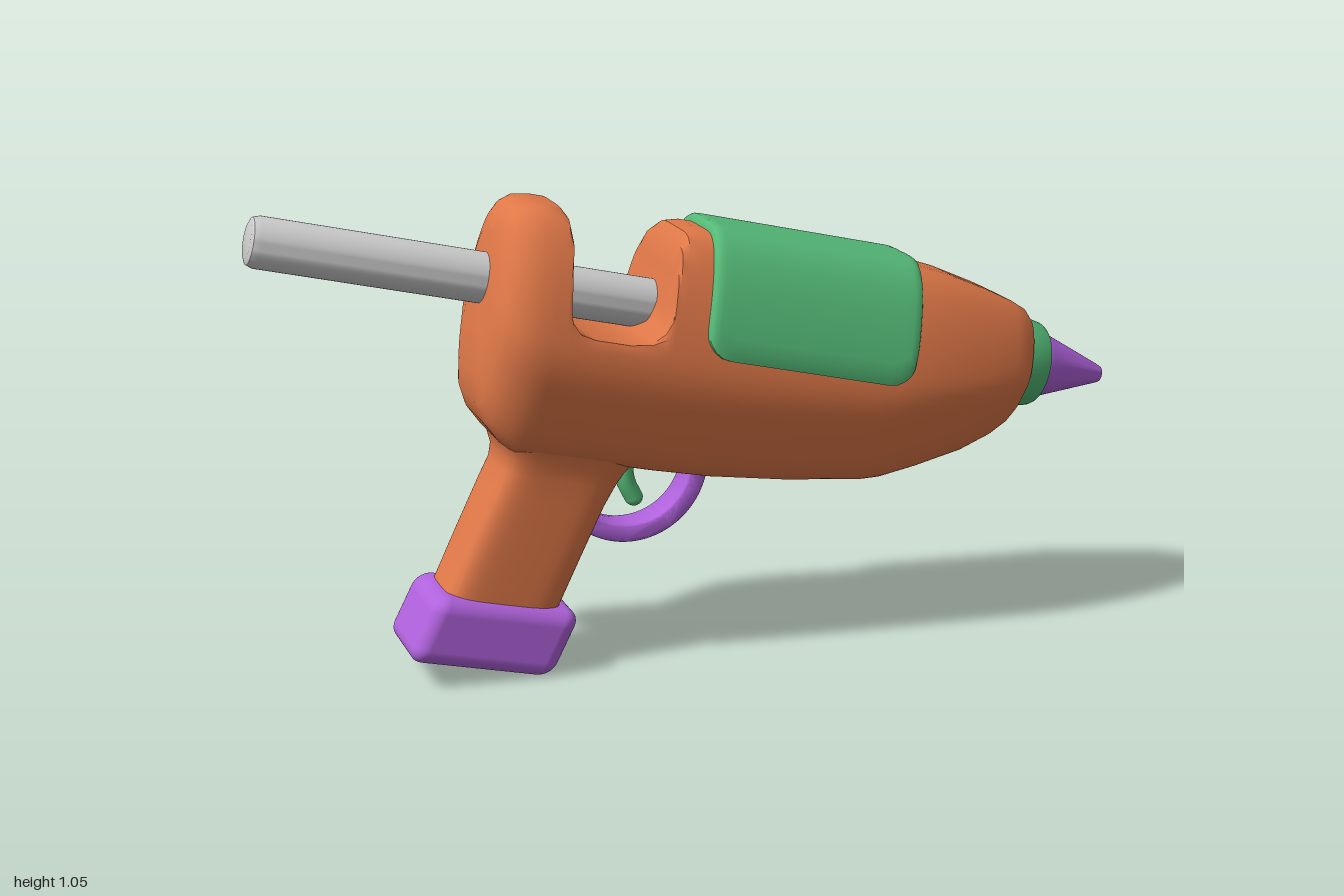
import * as THREE from 'three';
import { toCreasedNormals } from 'three/addons/utils/BufferGeometryUtils.js';
import { RoundedBoxGeometry } from 'three/addons/geometries/RoundedBoxGeometry.js';

const TILT = -0.2217; // the barrel points slightly downwards
const material = (color) => new THREE.MeshStandardMaterial({ color });
const orange = material(0xe07848), green = material(0x55bb78), purple = material(0xb062dc), grey = material(0xcccccc);

function part(parent, name, geometry, mat) {
  const mesh = new THREE.Mesh(geometry, mat);
  mesh.name = name;
  parent.add(mesh);
  return mesh;
}

// Closed skin over a list of rings with equal point counts, capped at both ends
function loft(rings, crease = 0.7) {
  const n = rings[0].length, pos = [], idx = [];
  rings.forEach((r) => r.forEach((p) => pos.push(p.x, p.y, p.z)));
  for (let i = 0; i < rings.length - 1; i++) {
    for (let j = 0; j < n; j++) {
      const a = i * n + j, b = i * n + (j + 1) % n;
      idx.push(a, b, b + n, a, b + n, a + n);
    }
  }
  const last = (rings.length - 1) * n;
  // caps are strips between mirrored halves of the ring
  for (let j = 0; j < n / 2 - 1; j++) {
    const a = j, b = j + 1, c = n - 2 - j, d = n - 1 - j;
    idx.push(a, c, b, a, d, c);
    idx.push(last + a, last + b, last + c, last + a, last + c, last + d);
  }
  // turn the faces outwards
  let volume = 0;
  const P = (i) => new THREE.Vector3().fromArray(pos, idx[i] * 3);
  for (let i = 0; i < idx.length; i += 3) volume += P(i).dot(P(i + 1).cross(P(i + 2)));
  if (volume < 0) idx.reverse();
  const g = new THREE.BufferGeometry();
  g.setAttribute('position', new THREE.Float32BufferAttribute(pos, 3));
  g.setIndex(idx);
  return toCreasedNormals(g, crease);
}

// Turned part along the barrel axis, profile as [radius, position]
function turned(profile) {
  const g = new THREE.LatheGeometry(profile.map(([r, u]) => new THREE.Vector2(r, u)), 40);
  return toCreasedNormals(g.rotateZ(-Math.PI / 2), 0.6);
}

// Half of the housing cross-section, top to bottom: x = half width, y = height
const TOP = 0.188, BOTTOM = -0.35, WIDTH = 0.2;
const half = new THREE.CatmullRomCurve3([
  [0, 0.188], [0.04, 0.188], [0.08, 0.184], [0.12, 0.155], [0.165, 0.07], [0.197, -0.06], [0.2, -0.13],
  [0.18, -0.21], [0.135, -0.32], [0.1, -0.348], [0.05, -0.35], [0, -0.35],
].map(([x, y]) => new THREE.Vector3(x, y, 0)));

// Point on the full outline, t from -1 to 1, moved outwards by off
function outline(t, off = 0) {
  const s = Math.abs(t), p = half.getPoint(s), d = half.getTangent(s);
  return { z: (p.x - d.y * off) * (t < 0 ? -1 : 1), v: p.y + d.x * off };
}

const softMin = (a, b, k = 0.03) => {
  const h = Math.max(k - Math.abs(a - b), 0) / k;
  return Math.min(a, b) - h * h * k / 4;
};

// Housing: stations of [position, half width, top, bottom, cut height]
function housing() {
  const none = 0.4;
  const stations = [
    [-0.497, 0.1, 0.11, -0.12, none], [-0.49, 0.13, 0.143, -0.2, none], [-0.475, 0.16, 0.166, -0.26, none],
    [-0.45, 0.185, 0.182, -0.3, none], [-0.41, 0.198, 0.188, -0.335, none],
  ];
  // rear arch, loading notch and front shoulder
  const cuts = [[-0.378, 0.24], [-0.362, 0.175], [-0.352, 0.13], [-0.347, 0.05], [-0.343, 0], [-0.335, -0.035],
    [-0.315, -0.056], [-0.28, -0.064], [-0.2, -0.064], [-0.15, -0.054], [-0.125, -0.03], [-0.114, 0.02],
    [-0.112, 0.1], [-0.106, 0.15], [-0.09, 0.185], [-0.06, 0.24]];
  cuts.forEach(([u, c]) => stations.push([u, WIDTH, TOP, BOTTOM, c]));
  // tapering nose
  stations.push([0.08, 0.2, 0.188, -0.346, none], [0.25, 0.2, 0.188, -0.331, none], [0.378, 0.2, 0.188, -0.314, none],
    [0.43, 0.2, 0.188, -0.307, none], [0.477, 0.197, 0.188, -0.295, none], [0.56, 0.187, 0.18, -0.26, none],
    [0.663, 0.166, 0.16, -0.212, none], [0.73, 0.147, 0.143, -0.169, none], [0.765, 0.133, 0.13, -0.138, none],
    [0.785, 0.115, 0.112, -0.113, none], [0.795, 0.09, 0.09, -0.09, none]);
  const N = 80;
  return loft(stations.map(([u, w, top, bot, cut]) => Array.from({ length: N }, (_, j) => {
    const { z, v } = outline((j + 0.5) / N * 2 - 1);
    const y = bot + (v - BOTTOM) / (TOP - BOTTOM) * (top - bot);
    return new THREE.Vector3(u, softMin(y, cut), z * w / WIDTH);
  })));
}

// Wrap-around cover: a thin shell over the upper outline with rounded lower corners
function cover() {
  const u0 = -0.034, u1 = 0.462, r = 0.06, N = 48, rings = [];
  const edge = [0, 0.003, 0.01, 0.022, 0.04, 0.06];
  const us = [...edge.map((e) => u0 + e), 0.12, 0.22, 0.32, ...edge.map((e) => u1 - e).reverse()];
  for (const u of us) {
    const e = Math.min(u - u0, u1 - u);
    const low = -0.065 + r - Math.sqrt(Math.max(0, r * r - Math.max(0, r - e) ** 2));
    let a = 0, b = 0.8;
    for (let i = 0; i < 24; i++) {
      const m = (a + b) / 2;
      if (half.getPoint(m).y > low) a = m; else b = m;
    }
    const lift = 0.01 + 0.01 * Math.min(1, Math.sqrt(e / 0.012));
    const ring = [];
    for (const [off, dir] of [[lift, 1], [-0.012, -1]]) {
      for (let j = 0; j <= N; j++) {
        const t = dir * (j / N * 2 - 1) * a;
        const round = off > 0 && (j === 0 || j === N) ? 0.6 : 1;
        const p = outline(t, off * round);
        ring.push(new THREE.Vector3(u, p.v, p.z));
      }
    }
    rings.push(ring);
  }
  return loft(rings);
}

// Grip: rounded rectangular sections of [height, rear, front, half width]
function grip() {
  const N = 48, pw = (x) => Math.sign(x) * Math.abs(x) ** 0.42;
  return loft([
    [-0.74, -0.472, -0.208, 0.094], [-0.7, -0.457, -0.193, 0.095], [-0.57, -0.428, -0.164, 0.098],
    [-0.45, -0.4, -0.136, 0.1], [-0.4, -0.387, -0.12, 0.102], [-0.37, -0.388, -0.108, 0.107],
    [-0.34, -0.403, -0.092, 0.117], [-0.305, -0.43, -0.07, 0.13], [-0.26, -0.45, -0.06, 0.138], [-0.2, -0.45, -0.06, 0.138],
  ].map(([v, back, front, w]) => Array.from({ length: N }, (_, j) => {
    const a = (j + 0.5) / N * Math.PI * 2;
    return new THREE.Vector3((back + front) / 2 + pw(Math.cos(a)) * (front - back) / 2, v, pw(Math.sin(a)) * w);
  })));
}

export function createModel() {
  const model = new THREE.Group();
  model.name = 'glueGun';
  const barrel = new THREE.Group();
  barrel.name = 'barrelAssembly';
  barrel.position.y = 0.785;
  barrel.rotation.z = TILT;
  model.add(barrel);

  part(barrel, 'housing', housing(), orange);
  part(barrel, 'grip', grip(), orange);
  part(barrel, 'cover', cover(), green);
  part(barrel, 'glueStick', turned([[0, -1.01], [0.04, -1.01], [0.051, -1.005], [0.056, -0.99], [0.056, -0.05], [0, -0.05]]), grey);
  part(barrel, 'nozzleCollar', turned([[0, 0.77], [0.106, 0.77], [0.108, 0.78], [0.106, 0.79], [0.097, 0.835],
    [0.092, 0.843], [0.08, 0.845], [0, 0.845]]), green);
  part(barrel, 'nozzle', turned([[0, 0.82], [0.08, 0.82], [0.079, 0.848], [0.073, 0.862], [0.022, 1.008], [0.018, 1.017],
    [0.011, 1.018], [0.009, 1.01], [0.008, 0.98], [0, 0.98]]), purple);

  // Foot of the grip
  const foot = new RoundedBoxGeometry(0.335, 0.157, 0.232, 5, 0.036);
  foot.applyMatrix4(new THREE.Matrix4().makeShear(0, 0, 0.25, 0, 0, 0));
  const base = part(model, 'gripBase', foot, purple);
  base.position.set(-0.495, 0.111, 0);
  base.rotation.z = TILT;

  // Trigger guard: a bevelled arc band
  const arc = new THREE.Shape();
  const start = Math.PI * 1.3, end = Math.PI * 2.05;
  arc.absarc(0, 0, 0.172, start, end, false);
  arc.absarc(0, 0, 0.15, end, start, true);
  const band = new THREE.ExtrudeGeometry(arc, {
    depth: 0.064, bevelThickness: 0.01, bevelSize: 0.01, bevelSegments: 4, curveSegments: 32,
  });
  band.translate(-0.165, 0.46, -0.032);
  part(model, 'triggerGuard', toCreasedNormals(band, 0.6), purple);

  // Trigger: a short hooked bar with a rounded end
  const trigger = new THREE.Group();
  trigger.name = 'trigger';
  trigger.scale.z = 1.4;
  model.add(trigger);
  const path = new THREE.CatmullRomCurve3([[-0.16, 0.52], [-0.17, 0.45], [-0.165, 0.41], [-0.148, 0.373]]
    .map(([x, y]) => new THREE.Vector3(x, y, 0)));
  part(trigger, 'triggerBar', new THREE.TubeGeometry(path, 20, 0.021, 16), green);
  part(trigger, 'triggerTip', new THREE.SphereGeometry(0.021, 16, 12), green).position.set(-0.148, 0.373, 0);
  return model;
}
